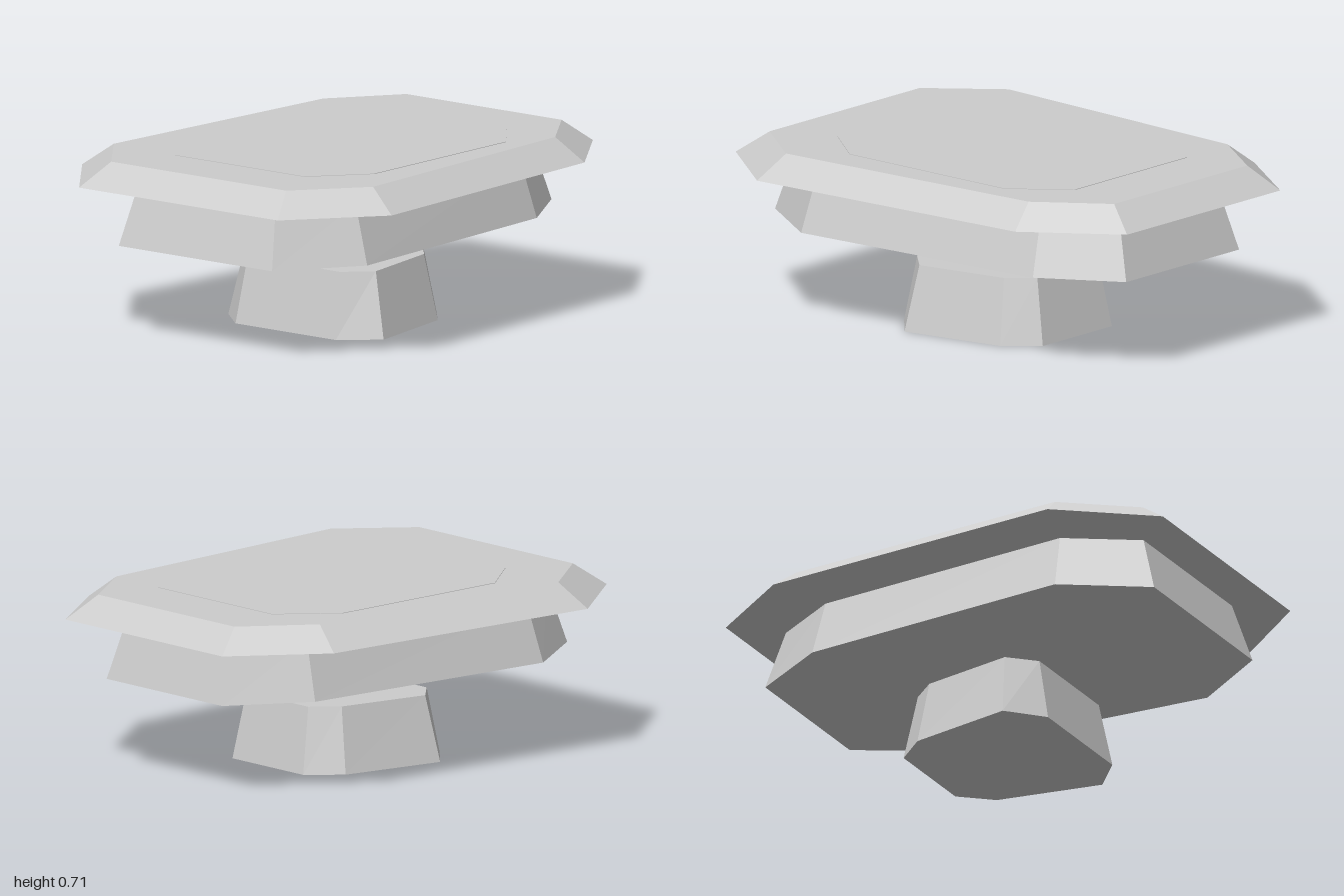
import * as THREE from 'three';

const material = new THREE.MeshStandardMaterial({ color: 0xcccccc, flatShading: true });

// Tapered octagon outline: f and b give [side x, end x, corner z, end z] for the front and back.
function octagon(f, b, y) {
  const [fs, fe, fc, fz] = f;
  const [bs, be, bc, bz] = b;
  return [[fe, fz], [fs, fc], [bs, -bc], [be, -bz], [-be, -bz], [-bs, -bc], [-fs, fc], [-fe, fz]]
    .map(([x, z]) => new THREE.Vector3(x, y, z));
}

// Closed solid between a lower and an upper outline.
function frustum(name, lower, upper) {
  const n = lower.length;
  const points = [];
  for (let i = 0; i < n; i++) {
    const j = (i + 1) % n;
    points.push(lower[i], lower[j], upper[j], lower[i], upper[j], upper[i]);
    if (i > 0 && i < n - 1) {
      points.push(upper[0], upper[i], upper[j], lower[0], lower[j], lower[i]);
    }
  }
  const geometry = new THREE.BufferGeometry().setFromPoints(points);
  geometry.computeVertexNormals();
  const mesh = new THREE.Mesh(geometry, material);
  mesh.name = name;
  return mesh;
}

export function createModel() {
  const model = new THREE.Group();
  model.name = 'tieredPlatform';

  // Small foot, floating clear of the body
  model.add(frustum('foot',
    octagon([0.395, 0.255, 0.215, 0.34], [0.315, 0.205, 0.215, 0.34], 0),
    octagon([0.335, 0.235, 0.19, 0.29], [0.265, 0.18, 0.19, 0.29], 0.262)));

  // Middle body
  model.add(frustum('body',
    octagon([0.605, 0.39, 0.57, 0.895], [0.525, 0.335, 0.57, 0.89], 0.38),
    octagon([0.53, 0.35, 0.55, 0.825], [0.455, 0.295, 0.55, 0.82], 0.615)));

  // Overhanging slab with a bevelled rim
  model.add(frustum('topSlab',
    octagon([0.787, 0.505, 0.64, 1], [0.71, 0.455, 0.64, 1], 0.615),
    octagon([0.66, 0.445, 0.6, 0.875], [0.59, 0.395, 0.605, 0.88], 0.707)));

  // Nearly flush panel set into the top
  const panel = [0.505, 0.33, 0.405, 0.622];
  model.add(frustum('topPanel', octagon(panel, panel, 0.7), octagon(panel, panel, 0.709)));

  return model;
}
